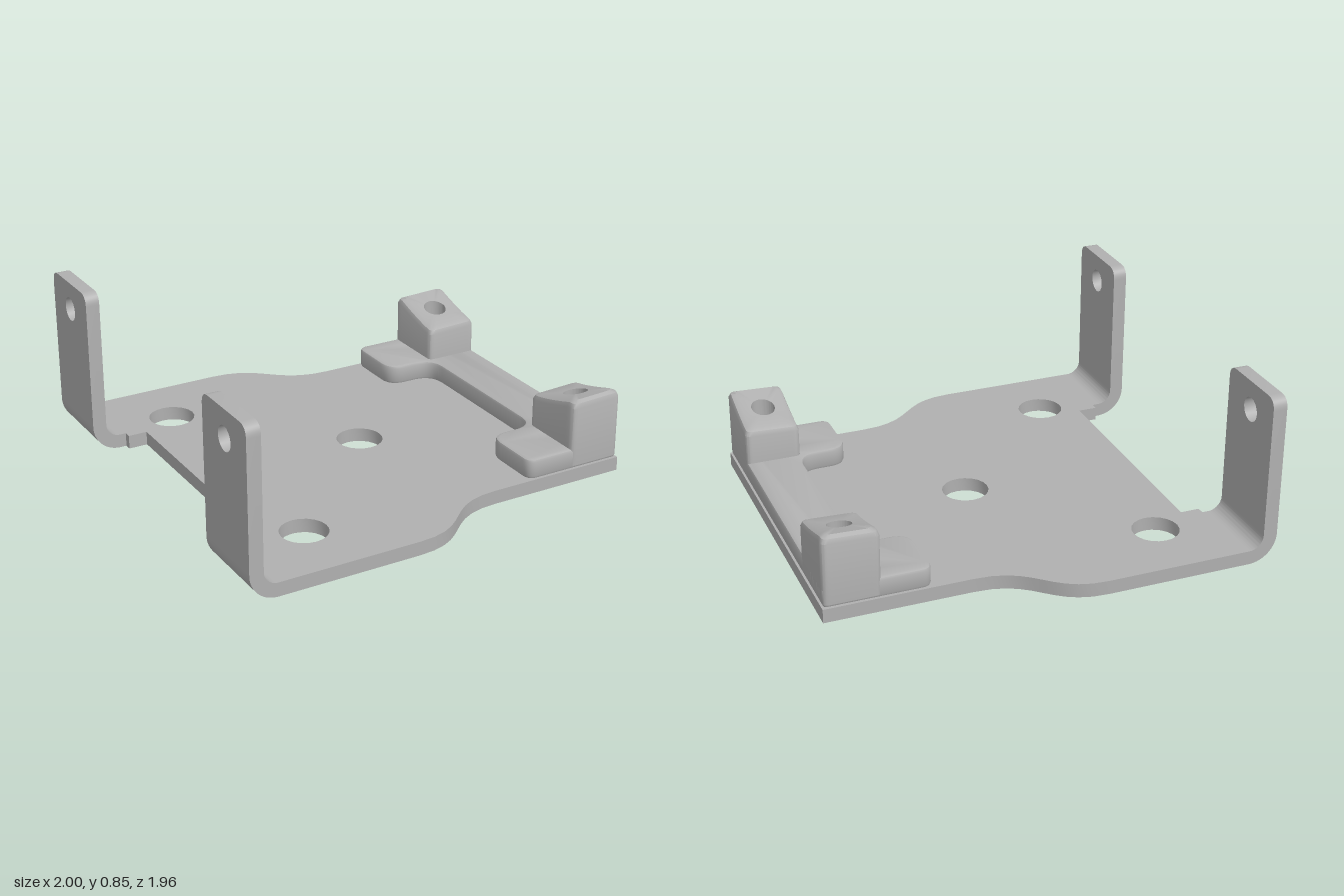
import * as THREE from 'three';
import { toCreasedNormals } from 'three/addons/utils/BufferGeometryUtils.js';

// Closed shape from corners [x, y, radius]
function roundedShape(corners) {
  const shape = new THREE.Shape();
  const n = corners.length;
  corners.forEach(([x, y, r], i) => {
    const toward = ([px, py]) => {
      const d = Math.hypot(px - x, py - y);
      return [x + (px - x) * r / d, y + (py - y) * r / d];
    };
    const a = toward(corners[(i + n - 1) % n]);
    const b = toward(corners[(i + 1) % n]);
    if (i === 0) shape.moveTo(...a); else shape.lineTo(...a);
    if (r > 0) shape.quadraticCurveTo(x, y, ...b);
  });
  shape.closePath();
  return shape;
}

function addHole(shape, x, y, r) {
  shape.holes.push(new THREE.Path().absarc(x, y, r, 0, Math.PI * 2, true));
}

// Extrude a plan shape (x, z) between two heights
function slab(shape, y0, y1, bevel = 0) {
  const geo = new THREE.ExtrudeGeometry(shape, {
    depth: y1 - y0 - 2 * bevel, curveSegments: 10,
    bevelEnabled: bevel > 0, bevelSize: bevel, bevelThickness: bevel,
    bevelOffset: -bevel, bevelSegments: 2,
  });
  return geo.rotateX(Math.PI / 2).translate(0, y1 - bevel, 0);
}

// Post with a curved sloping top and a vertical bore, built ring by ring
function postGeometry(s) {
  const cx = 0.867, cz = s * 0.592, hx = 0.128, hz = 0.162;
  const outline = (inset) => {
    const x = hx - inset, z = hz - inset, r = 0.025;
    return roundedShape([[-x, -z, r], [x, -z, r], [x, z, r], [-x, z, r]]).getSpacedPoints(96).slice(0, 96);
  };
  const bore = outline(0).map((p) => p.clone().setLength(0.055));
  const topY = (x, z) => {
    const t = THREE.MathUtils.clamp((Math.abs(z) - 0.44) / 0.27, 0, 1);
    return 0.385 + 0.07 * Math.pow(t, 1.3) + (x - cx) * 0.04;
  };
  // points, fixed height or drop below the sloping top
  const rings = [
    { pts: outline(0), y: 0.14 }, { pts: outline(0), drop: 0.03 },
    { pts: outline(0.008), drop: 0.01 }, { pts: outline(0.028), drop: 0 },
    { pts: bore, drop: 0 }, { pts: bore, y: 0.06 },
  ];
  const pos = [], idx = [], n = bore.length;
  rings.forEach(({ pts, y, drop }, k) => pts.forEach((p, i) => {
    const x = cx + p.x, z = cz + p.y;
    pos.push(x, y ?? topY(x, z) - drop, z);
    if (k === 0) return;
    const j = (i + 1) % n, a = (k - 1) * n, b = k * n;
    idx.push(a + i, b + i, a + j, b + i, b + j, a + j);
  }));
  const geo = new THREE.BufferGeometry();
  geo.setAttribute('position', new THREE.Float32BufferAttribute(pos, 3));
  geo.setIndex(idx);
  return geo;
}

export function createModel() {
  const group = new THREE.Group();
  const grey = new THREE.MeshStandardMaterial({ color: 0xb0b0b0 });
  grey.name = 'grey';
  const add = (name, geo) => {
    const mesh = new THREE.Mesh(toCreasedNormals(geo, 0.6), grey);
    mesh.name = name;
    group.add(mesh);
  };
  const sides = [[1, 'front'], [-1, 'back']];

  // Base plate with waisted sides and a notched end
  const plate = new THREE.Shape();
  plate.moveTo(1, -0.755);
  plate.lineTo(1, 0.755);
  plate.lineTo(0.33, 0.755);
  plate.bezierCurveTo(0.04, 0.755, 0.08, 0.98, -0.2, 0.98);
  plate.lineTo(-0.87, 0.98);
  plate.lineTo(-0.87, 0.595);
  plate.lineTo(-0.84, 0.595);
  plate.lineTo(-0.84, 0.56);
  plate.lineTo(-0.75, 0.56);
  plate.lineTo(-0.75, -0.56);
  plate.lineTo(-0.84, -0.56);
  plate.lineTo(-0.84, -0.595);
  plate.lineTo(-0.87, -0.595);
  plate.lineTo(-0.87, -0.98);
  plate.lineTo(-0.2, -0.98);
  plate.bezierCurveTo(0.08, -0.98, 0.04, -0.755, 0.33, -0.755);
  plate.closePath();
  addHole(plate, 0.08, 0, 0.108);
  for (const [s] of sides) {
    addHole(plate, -0.575, s * 0.655, 0.108);
    addHole(plate, 0.867, s * 0.592, 0.058);
  }
  add('basePlate', slab(plate, 0.06, 0.125));

  // C-shaped raised pad
  const pad = roundedShape([
    [0.995, -0.75, 0.02], [0.995, 0.75, 0.02], [0.51, 0.75, 0.05], [0.51, 0.435, 0.09],
    [0.75, 0.435, 0.1], [0.75, -0.435, 0.1], [0.51, -0.435, 0.09], [0.51, -0.75, 0.05],
  ]);
  for (const [s] of sides) addHole(pad, 0.867, s * 0.592, 0.058);
  add('raisedPad', slab(pad, 0.125, 0.22, 0.014));

  for (const [s, side] of sides) {
    add(side + 'Post', postGeometry(s));

    // Upright ear with a rounded top and a hole
    const z0 = s * 0.7875 - 0.1925, z1 = z0 + 0.385;
    const ear = roundedShape([[z0, 0.19, 0], [z1, 0.19, 0], [z1, 0.845, 0.055], [z0, 0.845, 0.055]]);
    addHole(ear, s * 0.79, 0.715, 0.056);
    const earGeo = new THREE.ExtrudeGeometry(ear, { depth: 0.065, bevelEnabled: false, curveSegments: 8 });
    add(side + 'Ear', earGeo.rotateY(-Math.PI / 2).translate(-0.935, 0, 0));

    // Bend joining ear and plate
    const bend = new THREE.Shape();
    bend.absarc(-0.87, 0.19, 0.13, Math.PI, Math.PI * 1.5, false);
    bend.absarc(-0.87, 0.19, 0.065, Math.PI * 1.5, Math.PI, true);
    bend.closePath();
    const bendGeo = new THREE.ExtrudeGeometry(bend, { depth: 0.385, bevelEnabled: false, curveSegments: 10 });
    add(side + 'Bend', bendGeo.translate(0, 0, z0));
  }

  // Domed screw heads underneath, three of them with sockets
  const dome = [[0.055, 0], [0.074, 0.007], [0.088, 0.022], [0.095, 0.042], [0.095, 0.06]];
  const socket = [[0, 0.03], [0.032, 0.03], [0.032, 0]];
  const screw = (name, x, z, start) => {
    const profile = [...start, ...dome].map(([r, y]) => new THREE.Vector2(r, y));
    add(name, new THREE.LatheGeometry(profile, 32).translate(x, 0, z));
  };
  screw('middleScrew', 0.867, 0, socket);
  for (const [s, side] of sides) {
    screw(side + 'InnerScrew', 0.62, s * 0.592, socket);
    screw(side + 'OuterScrew', 0.867, s * 0.592, [[0, 0]]);
  }
  return group;
}
